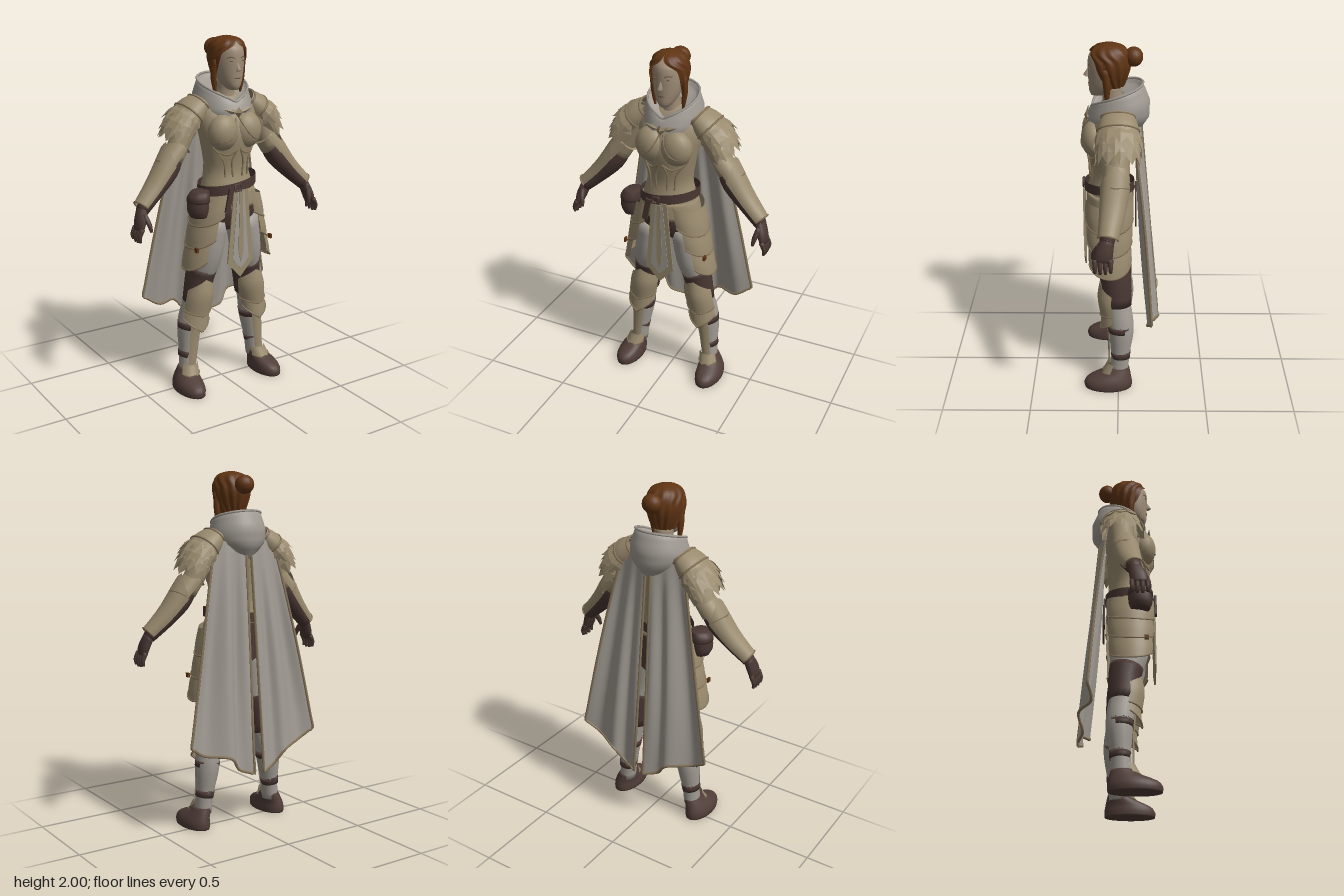
import * as THREE from 'three';
import { mergeGeometries } from 'three/addons/utils/BufferGeometryUtils.js';

const V = (x, y, z) => new THREE.Vector3(x, y, z);
const spline = (pts, closed = false) => new THREE.CatmullRomCurve3(pts, closed, 'catmullrom');
const mat = (name, color) => new THREE.MeshStandardMaterial({ name, color, side: THREE.DoubleSide });
const M = {
  armor: mat('tan armor', 0x998a6e), trim: mat('dark gold trim', 0x88765a),
  cloth: mat('pale cloth', 0xa09a92), leather: mat('dark leather', 0x493732),
  boot: mat('boot leather', 0x503d38), hair: mat('auburn hair', 0x5f3413),
  skin: mat('skin', 0x9e8c77), lip: mat('facial shade', 0x7a5f4e),
};

// Surface from a rule f(u, v)
function grid(f, nu, nv, closed = false) {
  const pos = [], idx = [], w = closed ? nu : nu + 1;
  for (let j = 0; j <= nv; j++) for (let i = 0; i < w; i++) pos.push(...f(i / nu, j / nv).toArray());
  for (let j = 0; j < nv; j++) for (let i = 0; i < nu; i++) {
    const a = j * w + i, b = j * w + (i + 1) % w;
    idx.push(a, b, a + w, b, b + w, a + w);
  }
  const g = new THREE.BufferGeometry();
  g.setAttribute('position', new THREE.Float32BufferAttribute(pos, 3));
  g.setIndex(idx);
  g.computeVertexNormals();
  return g;
}

// Rings [x, y, z, sideRadius, frontRadius]; angle 0 is outward, 90 is front
function surface(rings, { arc = [0, 360], flat = false, tip = 0, top = 0, power = 1 } = {}) {
  const c = spline(rings.map(r => V(r[0], r[1], r[2]))), rr = spline(rings.map(r => V(r[3], r[4], 0)));
  return (u, v) => {
    const t = flat ? V(0, -1, 0) : c.getTangent(v), side = V(-t.y, t.x, 0).normalize();
    const front = t.clone().cross(side), r = rr.getPoint(v);
    const a = (arc[0] + (arc[1] - arc[0]) * u) * Math.PI / 180;
    return c.getPoint(v).addScaledVector(side, r.x * Math.cos(a)).addScaledVector(front, r.y * Math.sin(a))
      .addScaledVector(t, (tip * v - top * (1 - v)) * (1 - Math.abs(2 * u - 1) ** power));
  };
}
// Closed body with capped ends
function loft(rings, opt = {}, n = 18) {
  const f = surface(rings, opt), steps = (rings.length - 1) * 3;
  const mid = v => f(0, v).add(f(0.5, v)).multiplyScalar(0.5);
  return grid((u, v) => {
    const k = Math.round(v * (steps + 2));
    return k === 0 ? mid(0) : k === steps + 2 ? mid(1) : f(u, (k - 1) / steps);
  }, n, steps + 2, true);
}
const tube = (pts, r, closed = false) => new THREE.TubeGeometry(spline(pts, closed), pts.length * 4, r, 5, closed);
const edge = (f, v, n = 16) => Array.from({ length: n + 1 }, (_, i) => f(i / n, v));
function ball(x, y, z, rx, ry, rz) {
  return new THREE.SphereGeometry(1, 18, 12).scale(rx, ry, rz).translate(x, y, z);
}
function mirrored(g) {
  const m = g.clone().scale(-1, 1, 1);
  const idx = m.index ? [...m.index.array] : [...Array(m.attributes.position.count).keys()];
  m.setIndex(idx.reverse());
  return m;
}

export function createModel() {
  const root = new THREE.Group();
  const add = (name, g, m) => {
    const mesh = new THREE.Mesh(g, m);
    mesh.name = name;
    root.add(mesh);
  };
  const both = (name, g, m) => { add(name + 'Left', g, m); add(name + 'Right', mirrored(g), m); };
  // Curved armour plate with a trimmed lower edge, on both sides
  const plate = (name, rings, opt) => {
    const f = surface(rings, opt);
    both(name, grid(f, 16, 6), M.armor);
    both(name + 'Trim', tube(edge(f, 1), 0.005), M.trim);
  };

  // Torso and pelvis
  const body = [[0, 1.7, 0, 0.07, 0.06], [0, 1.66, 0.01, 0.165, 0.09], [0, 1.58, 0.03, 0.185, 0.12],
    [0, 1.48, 0.05, 0.165, 0.13], [0, 1.38, 0.05, 0.145, 0.115], [0, 1.28, 0.045, 0.13, 0.105],
    [0, 1.2, 0.05, 0.148, 0.115], [0, 1.12, 0.05, 0.172, 0.125]];
  add('cuirass', loft(body, { flat: true }, 28), M.armor);
  add('pelvis', loft([[0, 1.14, 0.05, 0.168, 0.122], [0, 1.04, 0.05, 0.175, 0.125], [0, 0.95, 0.045, 0.15, 0.1]], { flat: true }, 24), M.leather);
  add('hipYoke', loft([[0, 1.17, 0.05, 0.165, 0.126], [0, 1.12, 0.05, 0.178, 0.13], [0, 1.07, 0.05, 0.182, 0.132]], { flat: true }, 24), M.armor);
  both('breastPlate', ball(0.073, 1.495, 0.13, 0.09, 0.1, 0.072), M.armor);

  // Raised trim lines that follow the cuirass
  const onBody = (x, y) => {
    const i = Math.max(0, body.findIndex((r, k) => k > 0 && r[1] <= y) - 1), [p, q] = [body[i], body[i + 1]];
    const k = (p[1] - y) / (p[1] - q[1]), mix = n => p[n] + (q[n] - p[n]) * k;
    return V(x, y, mix(2) + mix(4) * Math.sqrt(Math.max(0, 1 - (x / mix(3)) ** 2)) + 0.005);
  };
  const lines = [[[0.012, 1.4], [0.035, 1.34], [0.03, 1.25]], [[0.12, 1.4], [0.08, 1.34], [0.07, 1.25]],
    [[0.01, 1.4], [0.06, 1.375], [0.12, 1.4], [0.15, 1.47]]];
  for (const l of lines) both('cuirassTrim', tube(l.map(p => onBody(...p)), 0.005), M.trim);
  both('bustTrim', tube([V(0.01, 1.57, 0.16), V(0.035, 1.51, 0.193), V(0.075, 1.465, 0.199), V(0.125, 1.45, 0.176)], 0.004), M.trim);
  add('broochGem', new THREE.OctahedronGeometry(1).scale(0.025, 0.03, 0.015).translate(0, 1.6, 0.17), M.trim);
  both('broochWing', new THREE.OctahedronGeometry(1).scale(0.05, 0.014, 0.01).rotateZ(0.3).translate(0.045, 1.61, 0.165), M.armor);

  // Neck, head and face
  add('neck', loft([[0, 1.78, 0.04, 0.05, 0.055], [0, 1.7, 0.03, 0.05, 0.055], [0, 1.64, 0.02, 0.07, 0.07]], { flat: true }), M.skin);
  add('head', loft([[0, 1.98, 0.05, 0.04, 0.05], [0, 1.94, 0.055, 0.075, 0.098], [0, 1.88, 0.057, 0.081, 0.104], [0, 1.83, 0.06, 0.078, 0.1],
    [0, 1.78, 0.075, 0.065, 0.083], [0, 1.74, 0.095, 0.045, 0.06], [0, 1.718, 0.11, 0.025, 0.035]], { flat: true }, 24), M.skin);
  add('nose', new THREE.ConeGeometry(0.016, 0.06, 4).scale(1, 1, 1.1).rotateX(-0.3).translate(0, 1.85, 0.161), M.skin);
  both('eye', ball(0.034, 1.873, 0.151, 0.012, 0.004, 0.003), M.lip);
  both('eyebrow', tube([V(0.017, 1.886, 0.157), V(0.035, 1.894, 0.152), V(0.055, 1.889, 0.135)], 0.003), M.lip);
  add('mouth', ball(0, 1.783, 0.156, 0.02, 0.006, 0.004), M.lip);

  // Hair cap open at the face, with combed ridges, bun and braids
  const gaps = spline([[0, 0], [0, 0.07], [0.2, 0.1], [0.8, 0.112], [0.98, 0.113], [1.15, 0.1], [1.5, 0.08]].map(p => V(p[0], p[1], 0)));
  add('hairCap', grid((u, v) => {
    const g = gaps.getPoint(v), gap = Math.max(0, g.x), a = Math.PI / 2 + gap + (Math.PI * 2 - 2 * gap) * u;
    const y = 2 - 0.23 * v ** 1.5, r = g.y + 0.0035 * Math.cos(u * 60) * Math.min(1, v * 4);
    return V(r * 0.9 * Math.cos(a), y, 0.05 + r * Math.sin(a));
  }, 72, 18), M.hair);
  add('hairBun', ball(0, 1.925, -0.08, 0.055, 0.052, 0.05), M.hair);
  both('hairBraid', loft([[0.085, 1.88, 0.07, 0.018, 0.022], [0.09, 1.8, 0.06, 0.016, 0.02], [0.085, 1.74, 0.06, 0.013, 0.015], [0.08, 1.69, 0.06, 0.005, 0.006]], {}, 8), M.hair);

  // Lowered hood; each ring is [width, frontZ, backZ, frontY, backY]
  const hoodRings = [[0.055, 0.09, -0.03, 1.64, 1.725], [0.118, 0.125, -0.105, 1.65, 1.755], [0.138, 0.14, -0.13, 1.655, 1.785],
    [0.158, 0.155, -0.168, 1.64, 1.69], [0.167, 0.167, -0.165, 1.615, 1.6], [0.15, 0.168, -0.115, 1.6, 1.52]];
  const hood = (u, v) => {
    const k = v * 5, i = Math.min(4, Math.floor(k)), m = hoodRings[i].map((p, n) => p + (hoodRings[i + 1][n] - p) * (k - i));
    const a = u * Math.PI * 2, s = (1 - Math.sin(a)) / 2;
    const w = v > 0.7 ? m[0] * (1 - 0.45 * (v - 0.7) / 0.3 * s) : m[0];
    return V(w * Math.cos(a), m[3] + (m[4] - m[3]) * Math.sqrt(s), m[1] + (m[2] - m[1]) * s);
  };
  add('hood', grid(hood, 36, 15, true), M.cloth);
  add('hoodRim', tube(edge(hood, 0.4, 24).slice(0, 24), 0.007, true), M.cloth);

  // Split cape with folds and gold edging
  const hem = spline([V(0.033, 0.335, -0.23), V(0.12, 0.365, -0.205), V(0.19, 0.445, -0.228), V(0.32, 0.465, -0.165), V(0.415, 0.525, -0.185)]);
  const cape = (u, v) => {
    const p = V(0.015 + 0.175 * u, 1.63 - 0.01 * u, -0.115 + 0.04 * u), h = hem.getPoint(u);
    return V(p.x + (h.x - p.x) * v ** 0.9, p.y + (h.y - p.y) * v, p.z + (h.z - p.z) * v - 0.012 * Math.sin(u * 14) * Math.sin(v * Math.PI));
  };
  both('cape', grid(cape, 24, 16), M.cloth);
  const border = [...edge((t) => cape(0, t), 0), ...edge((t) => cape(t, 1), 0).slice(1), ...edge((t) => cape(1, 1 - t), 0).slice(1)];
  both('capeTrim', tube(border, 0.008), M.trim);

  // Arms, bracers and gloved hands
  both('upperArm', loft([[0.2, 1.61, 0, 0.06, 0.07], [0.26, 1.46, 0, 0.058, 0.065], [0.325, 1.345, 0.01, 0.055, 0.06]]), M.armor);
  both('gloveSleeve', loft([[0.31, 1.37, 0.01, 0.05, 0.055], [0.36, 1.3, 0.02, 0.062, 0.062], [0.45, 1.205, 0.035, 0.054, 0.052], [0.535, 1.11, 0.055, 0.034, 0.038]]), M.leather);
  plate('bracer', [[0.35, 1.325, 0.015, 0.085, 0.078], [0.44, 1.22, 0.03, 0.062, 0.067], [0.53, 1.13, 0.05, 0.048, 0.053]], { arc: [-95, 92], top: 0.095 });
  plate('elbowGuard', [[0.27, 1.42, 0.005, 0.062, 0.068], [0.35, 1.33, 0.012, 0.066, 0.07]], { arc: [-95, 95], tip: 0.02 });
  const hand = [loft([[0.53, 1.13, 0.05, 0.028, 0.035], [0.555, 1.06, 0.07, 0.027, 0.048], [0.567, 1.015, 0.075, 0.018, 0.045]], {}, 12),
    loft([[0.54, 1.1, 0.09, 0.016, 0.016], [0.527, 1.05, 0.12, 0.014, 0.014], [0.52, 1.01, 0.13, 0.008, 0.008]], {}, 8)];
  for (let k = 0; k < 4; k++) {
    const z = 0.035 + 0.027 * k, end = 0.96 - 0.008 * Math.sin(k);
    hand.push(loft([[0.565, 1.03, z, 0.014, 0.014], [0.583, 0.99, z, 0.012, 0.012], [0.58, end, z, 0.007, 0.008]], {}, 8));
  }
  both('hand', mergeGeometries(hand), M.leather);

  // Smooth pauldrons ending in three rows of pointed feather scales
  const pauldron = surface([[0.14, 1.65, 0, 0.055, 0.085], [0.2, 1.6, 0, 0.078, 0.108], [0.25, 1.55, 0, 0.074, 0.11], [0.28, 1.5, 0, 0.066, 0.105]], { arc: [-125, 125] });
  both('pauldron', grid(pauldron, 24, 9), M.armor);
  for (const v of [0.05, 0.4]) both('pauldronTrim', tube(edge(pauldron, v), 0.006), M.trim);
  const feathers = [];
  for (let row = 0; row < 3; row++) for (let i = 0; i < 7; i++) {
    const u = (i + 0.5 + (row % 2) * 0.4) / 7.4, v = 0.53 + row * 0.21, p = pauldron(u, v);
    const dv = pauldron(u, v + 0.02).sub(p).normalize(), n = pauldron(u + 0.02, v).sub(p).cross(dv).normalize();
    const d = dv.addScaledVector(n, 0.3).normalize(), side = d.clone().cross(n).normalize(), up = side.clone().cross(d);
    const m = new THREE.Matrix4().makeBasis(side, d, up).setPosition(p.addScaledVector(d, 0.012));
    feathers.push(new THREE.OctahedronGeometry(1).scale(0.042, 0.066, 0.009).applyMatrix4(m));
  }
  both('pauldronFeathers', mergeGeometries(feathers), M.armor);

  // Belt, buckle and pouch
  const belt = grid((u, v) => {
    const a = u * Math.PI * 2, x = 0.17 * Math.cos(a);
    return V(x, 1.225 - 0.055 * v + 0.15 * x, 0.05 + (0.137 + 0.004 * v) * Math.sin(a));
  }, 32, 2, true);
  add('belt', belt, M.leather);
  add('buckle', new THREE.TorusGeometry(0.026, 0.007, 6, 4).rotateZ(Math.PI / 4).translate(-0.02, 1.195, 0.195), M.boot);
  add('beltTail', new THREE.BoxGeometry(0.03, 0.13, 0.012).rotateZ(-0.2).translate(-0.075, 1.13, 0.195), M.leather);
  add('pouch', loft([[-0.2, 1.18, 0.1, 0.04, 0.05], [-0.212, 1.15, 0.1, 0.056, 0.064], [-0.216, 1.08, 0.1, 0.058, 0.066], [-0.212, 1.04, 0.1, 0.045, 0.052]], { flat: true }, 12), M.leather);
  add('pouchFlap', loft([[-0.2, 1.185, 0.1, 0.044, 0.054], [-0.212, 1.155, 0.1, 0.06, 0.069], [-0.214, 1.125, 0.1, 0.061, 0.07]], { flat: true }, 12), M.leather);

  // Pointed skirt panels, front and back
  const panel = (w0, w1, y0, y1, y2, z) => {
    const s = new THREE.Shape([[-w0, y0], [-w1, y1], [0, y2], [w1, y1], [w0, y0]].map(p => new THREE.Vector2(...p)));
    return new THREE.ExtrudeGeometry(s, { depth: 0.008, bevelEnabled: false }).translate(0, 0, z);
  };
  add('frontPanelBorder', panel(0.045, 0.083, 1.18, 0.77, 0.68, 0.186), M.armor);
  add('frontPanel', panel(0.022, 0.052, 1.17, 0.79, 0.73, 0.189), M.cloth);
  add('frontPanelStripe', panel(0.01, 0.016, 1.17, 0.83, 0.77, 0.192), M.armor);
  add('backPanel', panel(0.1, 0.11, 1.16, 0.99, 0.92, -0.1), M.leather);

  // Layered hip plates with rounded lower edges, sweeping outward from the belt
  for (let k = 0; k < 3; k++) {
    const y = 1.16 - 0.125 * k, x = 0.085 + 0.028 * k, r = 0.108 - 0.004 * k, d = 0.132 - 0.006 * k;
    plate('hipPlate', [[x, y, 0.05, r, d], [x + 0.015, y - 0.07, 0.05, r + 0.007, d + 0.003], [x + 0.024, y - 0.12, 0.05, r + 0.008, d]],
      { arc: [-85, 96 - 12 * k], tip: 0.06, top: -0.03, power: 2, flat: true });
  }
  both('hipStud', new THREE.BoxGeometry(0.012, 0.025, 0.025).translate(0.245, 0.86, 0.13), M.hair);

  // Legs, knee wraps, greaves and straps
  both('leg', loft([[0.1, 1, 0.045, 0.09, 0.11], [0.13, 0.8, 0.045, 0.085, 0.1], [0.155, 0.66, 0.015, 0.072, 0.08], [0.175, 0.54, 0.005, 0.066, 0.072],
    [0.203, 0.42, -0.012, 0.067, 0.074], [0.214, 0.33, -0.016, 0.066, 0.07], [0.226, 0.2, -0.01, 0.05, 0.054], [0.235, 0.09, -0.005, 0.046, 0.055]]), M.cloth);
  both('kneeWrap', loft([[0.146, 0.72, 0.025, 0.084, 0.093], [0.158, 0.65, 0.012, 0.08, 0.087], [0.178, 0.51, 0.003, 0.074, 0.08]]), M.leather);
  plate('kneeGuard', [[0.168, 0.6, 0.02, 0.082, 0.085], [0.175, 0.55, 0.02, 0.088, 0.1], [0.187, 0.48, 0.012, 0.086, 0.092]], { arc: [12, 168], tip: 0.03, top: 0.065, flat: true });
  plate('shinCap', [[0.183, 0.52, 0.01, 0.08, 0.085], [0.198, 0.43, 0.012, 0.083, 0.092]], { arc: [15, 165], tip: 0.07, flat: true });
  plate('greave', [[0.203, 0.42, -0.01, 0.072, 0.082], [0.215, 0.32, -0.014, 0.069, 0.076], [0.232, 0.14, -0.005, 0.053, 0.063]], { arc: [62, 118], tip: 0.02, flat: true });
  for (const [x, y, r] of [[0.209, 0.37, 0.071], [0.227, 0.2, 0.054]])
    both('shinStrap', loft([[x - 0.003, y + 0.02, -0.013, r, r + 0.004], [x + 0.003, y - 0.02, -0.013, r - 0.003, r + 0.001]]), M.leather);

  // Boots
  both('boot', loft([[0.238, 0.12, 0, 0.048, 0.062], [0.246, 0.095, 0.012, 0.056, 0.08], [0.258, 0.06, 0.05, 0.068, 0.125], [0.262, 0.03, 0.06, 0.075, 0.14], [0.262, 0, 0.06, 0.074, 0.138]], { flat: true }, 24), M.boot);
  plate('ankleGuard', [[0.232, 0.15, 0, 0.054, 0.066], [0.243, 0.1, 0.012, 0.06, 0.085]], { arc: [25, 155], tip: 0.015, flat: true });
  return root;
}
